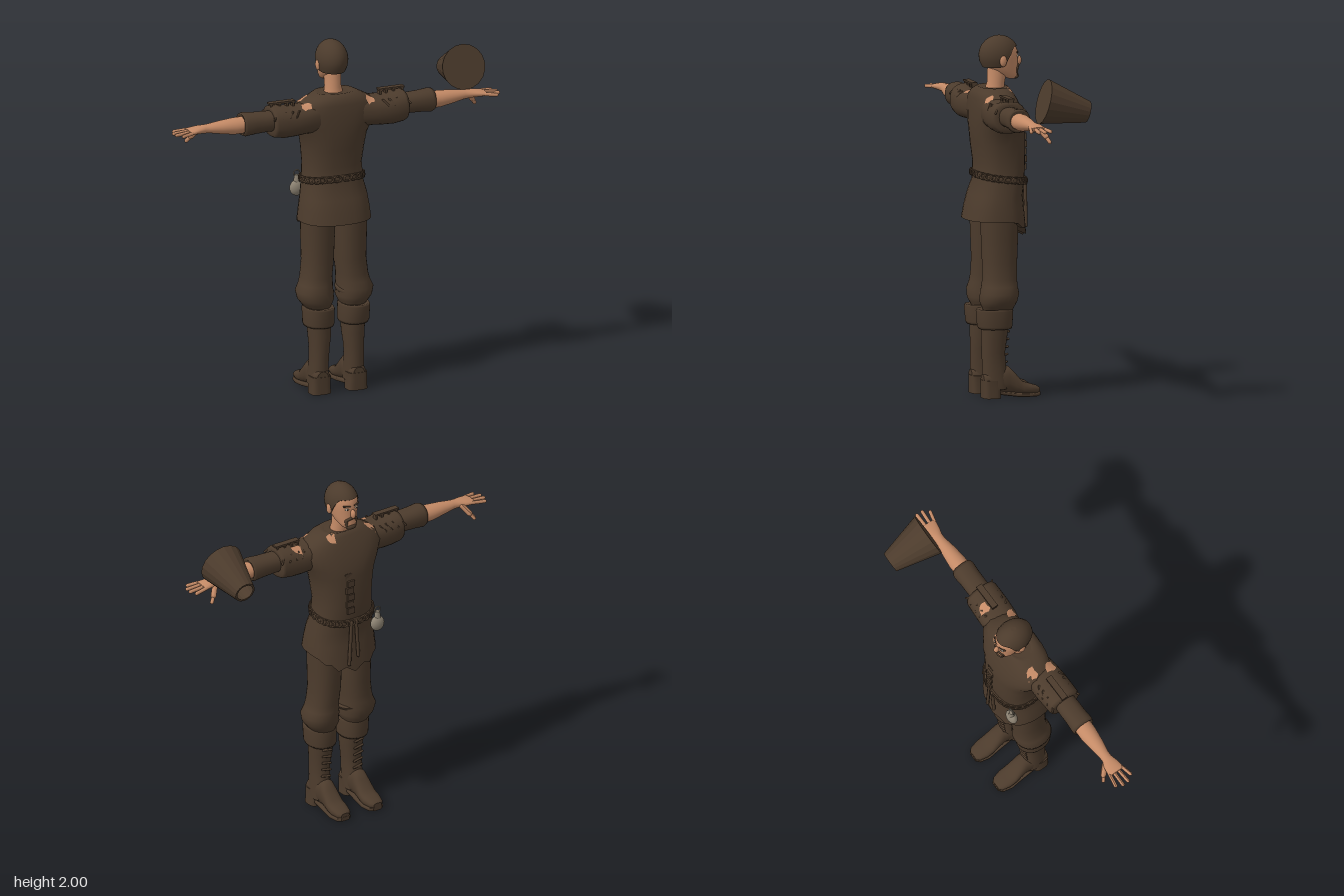
import * as THREE from 'three';

const mat = (name, color) => Object.assign(new THREE.MeshStandardMaterial({ color }), { name });

// Skin a grid of rings; point(i, a) gives ring i at angle a, ends are capped flat
function skin(count, point, seg = 28) {
  const pos = [], idx = [];
  for (let i = 0; i < count; i++)
    for (let j = 0; j < seg; j++) pos.push(...point(i, (j / seg) * Math.PI * 2));
  for (let i = 0; i < count - 1; i++)
    for (let j = 0; j < seg; j++) {
      const a = i * seg + j, b = i * seg + (j + 1) % seg;
      idx.push(a, a + seg, b, b, a + seg, b + seg);
    }
  for (const end of [0, count - 1]) {
    const base = pos.length / 3, mid = [0, 0, 0];
    for (let j = 0; j < seg; j++) {
      const p = point(end, (j / seg) * Math.PI * 2);
      pos.push(...p);
      p.forEach((v, k) => { mid[k] += v / seg; });
    }
    pos.push(...mid);
    for (let j = 0; j < seg; j++) {
      const a = base + j, b = base + (j + 1) % seg;
      idx.push(base + seg, end ? b : a, end ? a : b);
    }
  }
  const g = new THREE.BufferGeometry();
  g.setAttribute('position', new THREE.Float32BufferAttribute(pos, 3));
  g.setIndex(idx);
  g.computeVertexNormals();
  return g;
}

// Loft of rounded sections [t, centreU, centreV, radiusU, radiusV] along an axis.
// (u, v) is (x, z) along y, (z, y) along x and (y, x) along z.
function loft(axis, rings, power = 2, shift = () => 0) {
  const bend = (v) => Math.sign(v) * Math.abs(v) ** (2 / power);
  return skin(rings.length, (i, a) => {
    const [t0, cu, cv, ru, rv] = rings[i];
    const t = t0 + shift(i, a), u = cu + ru * bend(Math.cos(a)), v = cv + rv * bend(Math.sin(a));
    return axis === 'y' ? [u, t, v] : axis === 'x' ? [t, v, u] : [v, u, t];
  });
}

// Capsule between two points
function rod(a, b, r) {
  const p = new THREE.Vector3(...a), q = new THREE.Vector3(...b), d = q.clone().sub(p);
  const turn = new THREE.Quaternion().setFromUnitVectors(new THREE.Vector3(0, 1, 0), d.clone().normalize());
  const c = p.add(q).multiplyScalar(0.5);
  return new THREE.CapsuleGeometry(r, d.length(), 4, 8).applyQuaternion(turn).translate(c.x, c.y, c.z);
}
const ball = (x, y, z, rx, ry, rz) => new THREE.SphereGeometry(1, 18, 12).scale(rx, ry, rz).translate(x, y, z);
const box = (x, y, z, w, h, d) => new THREE.BoxGeometry(w, h, d).translate(x, y, z);

function mirrored(geo) {
  const g = geo.clone().scale(-1, 1, 1), ix = g.index;
  for (let i = 0; i < ix.count; i += 3) {
    const b = ix.getX(i + 1);
    ix.setX(i + 1, ix.getX(i + 2));
    ix.setX(i + 2, b);
  }
  g.computeVertexNormals();
  return g;
}

export function createModel() {
  const model = new THREE.Group();
  model.name = 'manWithBucket';
  const brown = mat('brown cloth and leather', 0x4c3b2c);
  const flesh = mat('skin', 0xc48a66);
  const pewter = mat('pewter', 0x8c8272);
  const white = mat('eye white', 0xcfc4b4);
  const add = (name, geo, m) => {
    const mesh = new THREE.Mesh(geo, m);
    mesh.name = name;
    model.add(mesh);
    return mesh;
  };
  const pair = (name, geo, m) => [add(name + 'Left', geo, m), add(name + 'Right', mirrored(geo), m)];

  // Tunic, with a ragged hem that dips at the front
  const hem = (i, a) => {
    const f = Math.max(0, -Math.sin(a));
    return i ? 0 : -0.085 * f * f + 0.018 * f * Math.sin(a * 13);
  };
  const tunic = add('tunic', loft('y', [
    [0.985, 0, 0.065, 0.205, 0.17], [1.05, 0, 0.065, 0.198, 0.157], [1.12, 0, 0.06, 0.188, 0.145],
    [1.2, 0, 0.04, 0.172, 0.137], [1.3, 0, 0.035, 0.165, 0.138], [1.4, 0, 0.043, 0.177, 0.143],
    [1.47, 0, 0.047, 0.19, 0.144], [1.53, 0, 0.052, 0.22, 0.142], [1.6, 0, 0.062, 0.25, 0.13],
    [1.66, 0, 0.072, 0.225, 0.115], [1.695, 0, 0.077, 0.16, 0.1], [1.718, 0, 0.07, 0.115, 0.08],
    [1.712, 0, 0.065, 0.085, 0.06]], 2.4, hem), brown);

  // Sleeves: wide upper layer, narrower rolled lower layer
  const sleeves = pair('upperSleeve', loft('x', [
    [0.1, 0.085, 1.59, 0.09, 0.09], [0.2, 0.093, 1.588, 0.098, 0.083], [0.27, 0.096, 1.585, 0.1, 0.085],
    [0.33, 0.098, 1.588, 0.098, 0.09], [0.385, 0.098, 1.595, 0.096, 0.089], [0.402, 0.098, 1.597, 0.09, 0.082],
    [0.4, 0.1, 1.6, 0.06, 0.055]], 2.4), brown);
  pair('lowerSleeve', loft('x', [
    [0.36, 0.1, 1.598, 0.06, 0.055], [0.44, 0.1, 1.6, 0.062, 0.057], [0.5, 0.1, 1.6, 0.062, 0.06],
    [0.56, 0.1, 1.6, 0.066, 0.066], [0.578, 0.1, 1.602, 0.06, 0.06], [0.57, 0.1, 1.6, 0.05, 0.05]], 2.3), brown);

  // Shoulder straps on small posts, with lacing cords
  pair('shoulderStrap', box(0.33, 1.697, 0.093, 0.155, 0.01, 0.036), brown);
  for (const x of [0.262, 0.3, 0.345, 0.395]) {
    pair('strapPost', box(x, 1.68, 0.093, 0.012, 0.035, 0.03), brown);
    pair('sleeveLace', rod([x - 0.01, 1.655, 0.165], [x + 0.015, 1.625, 0.185], 0.006), brown);
    pair('frontSleeveLace', rod([x - 0.01, 1.655, 0.03], [x + 0.015, 1.625, 0.008], 0.006), brown);
  }

  // Torn patches of bare skin, draped over the shoulders
  const ray = new THREE.Raycaster();
  const drape = (x, z) => {
    ray.set(new THREE.Vector3(x, 3, z), new THREE.Vector3(0, -1, 0));
    const hit = ray.intersectObjects([tunic, ...sleeves], false)[0];
    return [x, (hit ? hit.point.y : 1.66) + 0.004, z];
  };
  for (const [x, z, r] of [[-0.2, 0.14, 0.03], [0.18, 0.148, 0.026], [0.095, -0.005, 0.025], [0.29, 0.045, 0.03], [-0.18, 0.03, 0.032]]) {
    const n = 9, pos = drape(x, z), idx = [];
    for (let j = 0; j < n; j++) {
      const a = (j / n) * Math.PI * 2, k = r * (1 + 0.25 * Math.sin(j * 2.3));
      pos.push(...drape(x + k * Math.cos(a), z + k * Math.sin(a)));
      idx.push(0, 1 + (j + 1) % n, 1 + j);
    }
    const g = new THREE.BufferGeometry();
    g.setAttribute('position', new THREE.Float32BufferAttribute(pos, 3));
    g.setIndex(idx);
    g.computeVertexNormals();
    add('tornPatch', g, flesh);
  }

  // Front placket, hanging straps and ragged flaps
  for (let i = 0; i < 8; i++)
    add('placketFlap', box(0.03 + 0.008 * (i % 2), 1.27 + i * 0.042, i < 5 ? -0.102 : -0.1 + (i - 4) * 0.012, 0.045, 0.036, 0.012), brown);
  add('hangingStrap', rod([0.03, 1.2, -0.108], [0.045, 0.94, -0.108], 0.01), brown);
  add('hangingStrap', rod([0.0, 1.2, -0.108], [-0.015, 0.98, -0.108], 0.01), brown);

  // Tilted belt with chain links
  const tilt = (i, a) => 0.022 * Math.sin(a);
  add('belt', loft('y', [[1.195, 0, 0.038, 0.17, 0.135], [1.2, 0, 0.038, 0.179, 0.144],
    [1.23, 0, 0.037, 0.178, 0.145], [1.235, 0, 0.037, 0.165, 0.135]], 2.4, tilt), brown);
  for (let i = 0; i < 26; i++) {
    const a = (i / 26) * Math.PI * 2, bend = (v) => Math.sign(v) * Math.abs(v) ** (2 / 2.4);
    const link = add('beltLink', new THREE.TorusGeometry(0.016, 0.005, 6, 12).scale(1.4, 1, 1), brown);
    link.position.set(0.178 * bend(Math.cos(a)), 1.216 + tilt(0, a), 0.037 + 0.145 * bend(Math.sin(a)));
    link.rotation.y = Math.PI / 2 - a;
  }

  // Flask on the right hip
  add('flaskBody', ball(-0.155, 1.13, -0.088, 0.042, 0.045, 0.028), pewter);
  add('flaskNeck', new THREE.CylinderGeometry(0.014, 0.018, 0.04, 12).translate(-0.155, 1.185, -0.088), pewter);
  add('flaskRing', new THREE.TorusGeometry(0.018, 0.004, 6, 14).translate(-0.155, 1.215, -0.088), pewter);

  // Bare forearms, palms, fingers and thumbs
  pair('forearm', loft('x', [[0.54, 0.1, 1.598, 0.05, 0.046], [0.62, 0.098, 1.597, 0.05, 0.047],
    [0.7, 0.097, 1.6, 0.041, 0.037], [0.77, 0.095, 1.602, 0.03, 0.026], [0.8, 0.095, 1.602, 0.03, 0.024],
    [0.835, 0.093, 1.602, 0.042, 0.022], [0.885, 0.094, 1.598, 0.05, 0.017], [0.895, 0.094, 1.598, 0.045, 0.012]]), flesh);
  [[0.135, 0.955, 0.15], [0.108, 0.98, 0.115], [0.08, 0.982, 0.08], [0.054, 0.965, 0.043]].forEach(([z, tip, zt]) =>
    pair('finger', rod([0.885, 1.598, z], [tip - 0.01, 1.592, zt], 0.0105), flesh));
  pair('thumb', rod([0.82, 1.592, 0.065], [0.85, 1.55, 0.035], 0.016), flesh);
  pair('thumbTip', rod([0.85, 1.55, 0.035], [0.87, 1.522, 0.02], 0.011), flesh);

  // Neck and head
  add('neck', loft('y', [[1.68, 0, 0.065, 0.06, 0.055], [1.74, 0, 0.052, 0.046, 0.05], [1.85, 0, 0.04, 0.048, 0.058]]), flesh);
  add('head', loft('y', [[1.757, 0, -0.04, 0.02, 0.022], [1.77, 0, -0.03, 0.042, 0.042], [1.795, 0, -0.005, 0.058, 0.068],
    [1.83, 0, 0.02, 0.068, 0.09], [1.87, 0, 0.03, 0.075, 0.102], [1.91, 0, 0.033, 0.078, 0.104],
    [1.945, 0, 0.035, 0.07, 0.092], [1.975, 0, 0.035, 0.045, 0.06], [1.985, 0, 0.035, 0.02, 0.02]], 2.1), flesh);
  // Hair with a high front hairline and a low nape
  add('hair', skin(9, (i, a) => {
    const f = THREE.MathUtils.smoothstep(-Math.sin(a), -0.1, 0.75);
    const y = THREE.MathUtils.lerp(1.825 + 0.115 * f, 1.999, Math.sin((i / 8) * Math.PI / 2));
    const r = Math.sqrt(Math.max(0, 1 - ((y - 1.89) / 0.11) ** 2));
    return [0.088 * r * Math.cos(a), y, 0.035 + 0.114 * r * Math.sin(a)];
  }), brown);
  pair('ear', ball(0.083, 1.865, 0.035, 0.013, 0.032, 0.02), flesh);
  add('nose', ball(0, 1.855, -0.078, 0.014, 0.027, 0.019), flesh);
  pair('eye', ball(0.03, 1.885, -0.064, 0.013, 0.007, 0.006), white);
  pair('pupil', ball(0.03, 1.885, -0.068, 0.005, 0.005, 0.004), brown);
  pair('eyebrow', rod([0.015, 1.902, -0.069], [0.048, 1.905, -0.057], 0.005), brown);
  // Moustache joined to a chin beard
  pair('moustache', rod([0.004, 1.831, -0.074], [0.03, 1.815, -0.06], 0.009), brown);
  pair('beardSide', rod([0.032, 1.812, -0.058], [0.026, 1.778, -0.056], 0.01), brown);
  add('chinBeard', ball(0, 1.772, -0.056, 0.034, 0.019, 0.023), brown);

  // Trousers gathered below the knee
  pair('trouserLeg', loft('y', [[0.485, 0.105, 0.075, 0.07, 0.08], [0.51, 0.11, 0.075, 0.085, 0.092],
    [0.535, 0.114, 0.074, 0.1, 0.103], [0.58, 0.122, 0.07, 0.102, 0.108], [0.62, 0.112, 0.067, 0.093, 0.1],
    [0.66, 0.108, 0.065, 0.087, 0.096], [0.75, 0.098, 0.062, 0.087, 0.097], [0.88, 0.097, 0.062, 0.091, 0.102],
    [1.03, 0.095, 0.065, 0.095, 0.105]], 2.2), brown);
  pair('kneeFold', new THREE.TorusGeometry(0.09, 0.016, 8, 24).rotateX(Math.PI / 2 + 0.18).translate(0.116, 0.575, 0.07), brown);

  // Boots: turned cuff, shaft, foot, sole, heel and laces
  pair('bootCuff', loft('y', [[0.4, 0.105, 0.09, 0.066, 0.076], [0.385, 0.105, 0.09, 0.08, 0.092],
    [0.4, 0.105, 0.092, 0.085, 0.098], [0.485, 0.107, 0.094, 0.086, 0.104], [0.496, 0.107, 0.094, 0.08, 0.098],
    [0.49, 0.107, 0.09, 0.06, 0.075]], 2.2), brown);
  pair('bootShaft', loft('y', [[0.05, 0.108, 0.088, 0.056, 0.074], [0.1, 0.108, 0.09, 0.056, 0.072],
    [0.17, 0.106, 0.096, 0.052, 0.067], [0.25, 0.104, 0.1, 0.054, 0.065], [0.33, 0.101, 0.095, 0.062, 0.072],
    [0.42, 0.103, 0.09, 0.066, 0.078]], 2.2), brown);
  pair('bootFoot', loft('z', [[-0.162, 0.034, 0.107, 0.014, 0.026], [-0.145, 0.037, 0.107, 0.023, 0.044],
    [-0.1, 0.043, 0.107, 0.031, 0.055], [-0.06, 0.052, 0.107, 0.036, 0.055], [-0.02, 0.078, 0.107, 0.058, 0.051],
    [0.02, 0.1, 0.107, 0.075, 0.049], [0.1, 0.09, 0.108, 0.07, 0.055], [0.155, 0.08, 0.109, 0.06, 0.048],
    [0.164, 0.08, 0.109, 0.05, 0.035]], 2.4), brown);
  pair('bootSole', loft('z', [[-0.163, 0.016, 0.107, 0.012, 0.028], [-0.145, 0.012, 0.107, 0.012, 0.047],
    [-0.09, 0.012, 0.107, 0.012, 0.059], [-0.03, 0.014, 0.107, 0.012, 0.052], [0.08, 0.03, 0.108, 0.012, 0.046]], 4), brown);
  pair('bootHeel', loft('y', [[0, 0.11, 0.117, 0.059, 0.05], [0.06, 0.11, 0.117, 0.056, 0.05], [0.1, 0.109, 0.12, 0.058, 0.047]], 3.5), brown);
  for (let i = 0; i < 5; i++)
    pair('bootLace', rod([0.08, 0.19 + i * 0.042, 0.031 - i * 0.003], [0.13, 0.2 + i * 0.042, 0.031 - i * 0.003], 0.007), brown);

  // Hollow tapered bucket resting over the left wrist
  const wall = [[0, 0], [0.127, 0], [0.061, 0.26], [0.05, 0.26], [0.108, 0.015], [0, 0.015]];
  const shell = new THREE.LatheGeometry(wall.map(([x, y]) => new THREE.Vector2(x, y)), 18).toNonIndexed();
  shell.computeVertexNormals();
  const bucket = add('bucket', shell, brown);
  bucket.position.set(0.8, 1.738, 0.033);
  bucket.quaternion.setFromUnitVectors(new THREE.Vector3(0, 1, 0), new THREE.Vector3(0.01, -0.067, -0.251).normalize());
  return model;
}
